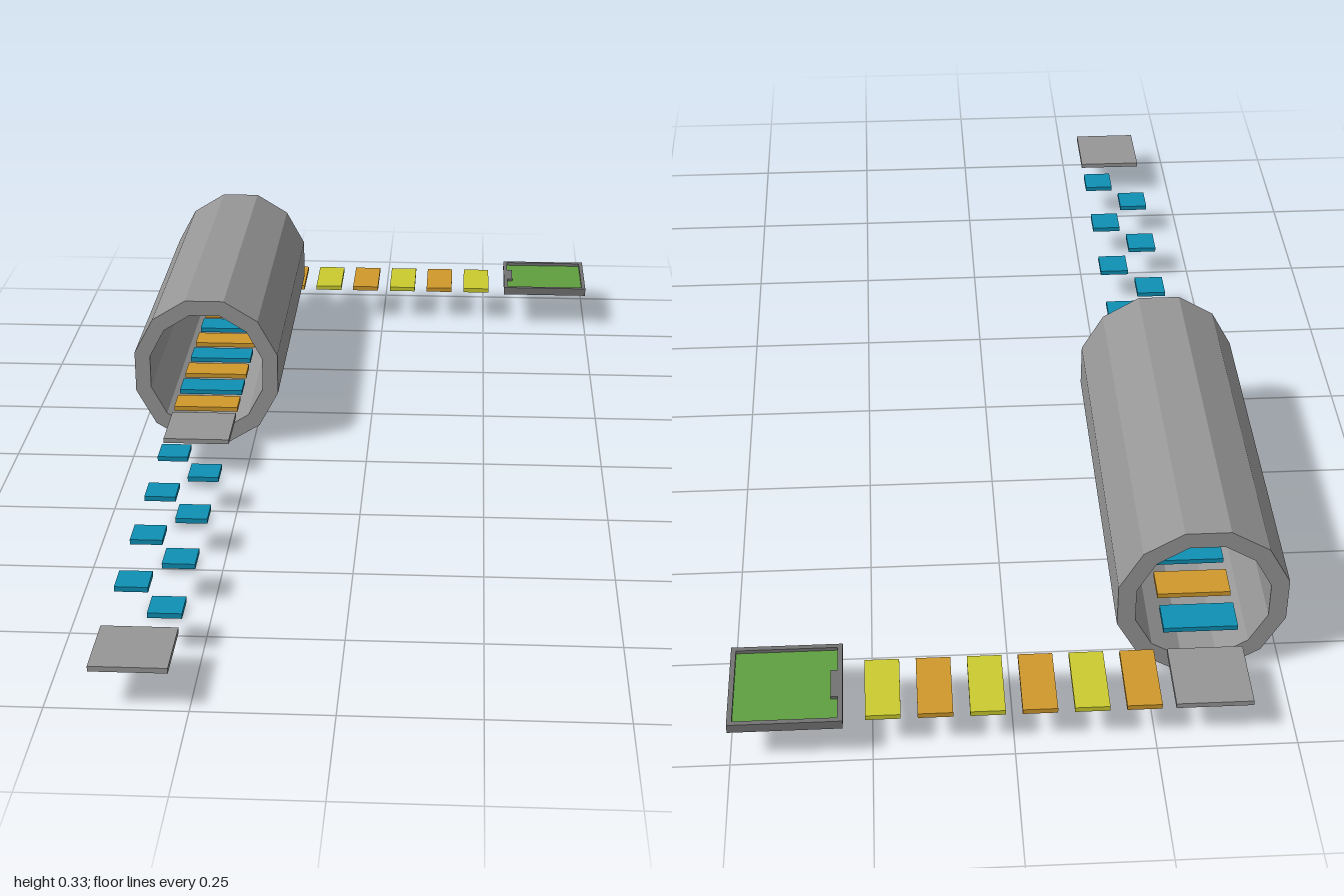
import * as THREE from 'three';

const material = (name, color) => new THREE.MeshStandardMaterial({ name, color });

export function createModel() {
  const group = new THREE.Group();
  const grey = material('stone grey', 0x969696);
  const darkGrey = material('rim grey', 0x727272);
  const orange = material('orange', 0xcf982b);
  const yellow = material('yellow', 0xcaca2f);
  const blue = material('blue', 0x0e8fb4);
  const green = material('green', 0x5f9f3f);

  const box = (name, mat, [w, h, d], [x, y, z]) => {
    const mesh = new THREE.Mesh(new THREE.BoxGeometry(w, h, d), mat);
    mesh.name = name;
    mesh.position.set(x, y, z);
    group.add(mesh);
  };

  const pathX = -0.352, rowZ = -0.907, deckY = 0.08, thick = 0.01;
  const pitch = 0.0917, tile = 0.062, wide = 0.137;

  // Square platforms at the start, before the tunnel and at the corner
  for (const z of [0.931, 0.016, rowZ]) box('platform', grey, [wide, thick, wide], [pathX, deckY, z]);

  // Staggered stepping stones
  for (let i = 0; i < 8; i++) {
    box('steppingStone', blue, [tile, thick, tile], [pathX + (i % 2 ? 0.037 : -0.037), deckY, 0.142 + i * pitch]);
  }

  // Planks running through the tunnel
  for (let i = 0; i < 8; i++) {
    box('tunnelPlank', i % 2 ? blue : orange, [wide, thick, tile], [pathX, deckY, -0.113 - i * pitch]);
  }

  // Planks from the corner to the goal
  for (let i = 0; i < 6; i++) {
    box('goalPlank', i % 2 ? yellow : orange, [tile, thick, wide], [-0.228 + i * pitch, deckY, rowZ]);
  }

  // Twelve-sided hollow tunnel, slightly taller than wide
  const ring = (rx, ry) => Array.from({ length: 12 }, (_, i) => {
    const a = (i + 0.5) * Math.PI / 6;
    return new THREE.Vector2(rx * Math.cos(a), ry * Math.sin(a));
  });
  const section = new THREE.Shape(ring(0.159, 0.17));
  section.holes.push(new THREE.Path(ring(0.125, 0.136)));
  const tunnel = new THREE.Mesh(
    new THREE.ExtrudeGeometry(section, { depth: 0.728, bevelEnabled: false }), grey);
  tunnel.name = 'tunnel';
  tunnel.position.set(-0.348, 0.166, -0.808);
  group.add(tunnel);

  // Goal tray: base, four rims, recessed green floor and a small entry mark
  const gx = 0.4, gz = -0.905, gw = 0.2, gd = 0.19, rim = 0.009;
  box('goalBase', darkGrey, [gw, 0.008, gd], [gx, 0.086, gz]);
  for (const s of [-1, 1]) {
    box('goalSideRim', darkGrey, [rim, 0.018, gd], [gx + s * (gw - rim) / 2, 0.091, gz]);
    box('goalEndRim', darkGrey, [gw - 2 * rim, 0.018, rim], [gx, 0.091, gz + s * (gd - rim) / 2]);
  }
  box('goalFloor', green, [gw - 2 * rim, 0.003, gd - 2 * rim], [gx, 0.0915, gz]);
  box('goalMark', darkGrey, [0.012, 0.006, 0.065], [0.315, 0.096, rowZ]);

  return group;
}
